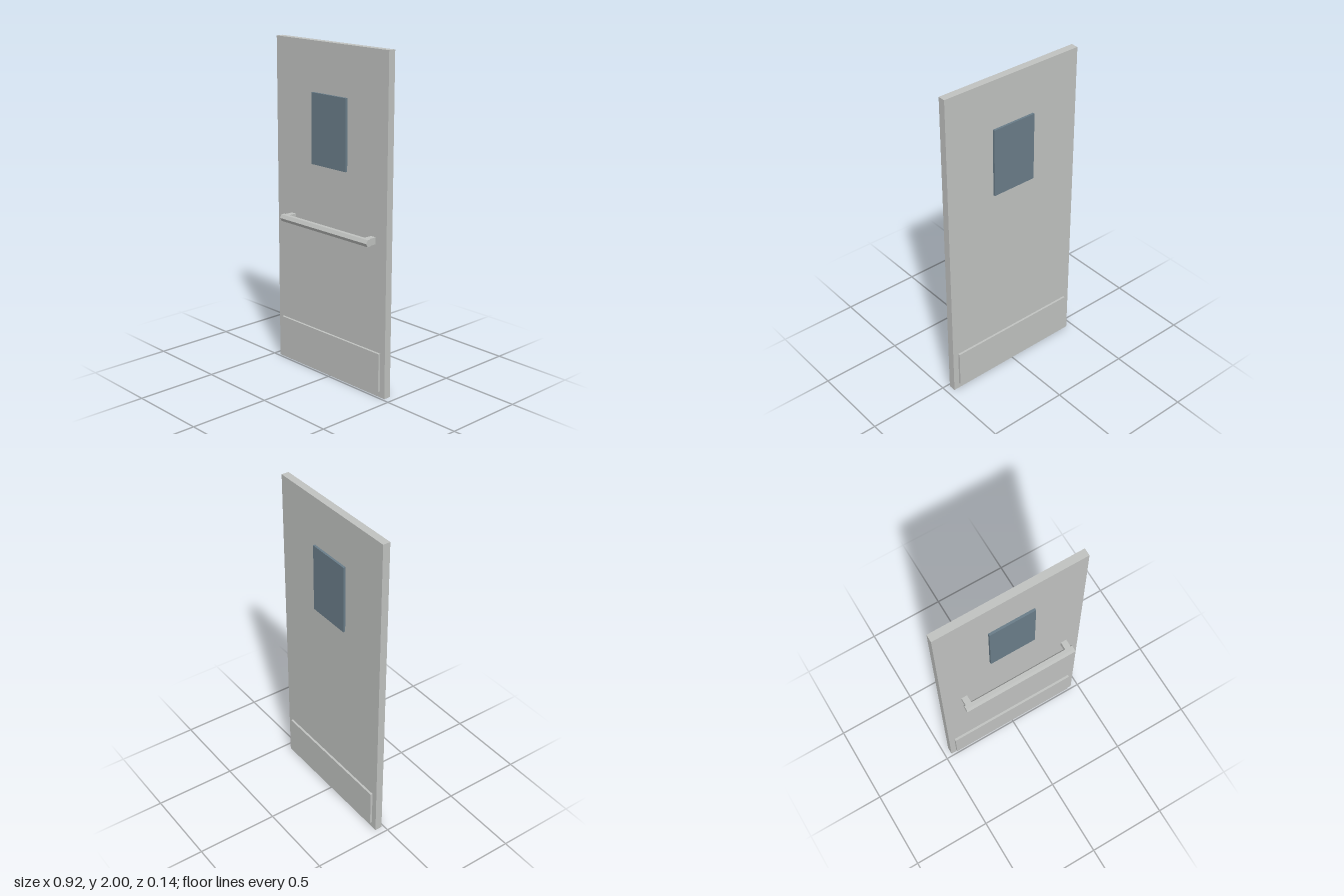
import * as THREE from 'three';

export function createModel() {
  const door = new THREE.Group();
  door.name = 'door';

  const steel = new THREE.MeshStandardMaterial({ color: 0xc0c2c0, flatShading: true });
  steel.name = 'grey steel';
  const glass = new THREE.MeshStandardMaterial({ color: 0x6a7d89, flatShading: true });
  glass.name = 'blue grey glass';

  // Box given by its lower and upper corners
  function addBox(name, material, [x0, y0, z0], [x1, y1, z1]) {
    const mesh = new THREE.Mesh(new THREE.BoxGeometry(x1 - x0, y1 - y0, z1 - z0), material);
    mesh.position.set((x0 + x1) / 2, (y0 + y1) / 2, (z0 + z1) / 2);
    mesh.name = name;
    door.add(mesh);
  }

  // Door leaf
  const back = -0.06, front = -0.0145;
  addBox('doorLeaf', steel, [-0.459, 0, back], [0.457, 2, front]);

  // Window panes and kick plates, one on each face
  for (const [side, z0, z1] of [['front', front, 0], ['back', -0.0735, back]]) {
    addBox(side + 'Window', glass, [-0.142, 1.286, z0], [0.141, 1.706, z1]);
    addBox(side + 'KickPlate', steel, [-0.422, 0.037, z0], [0.42, 0.27, z1]);
  }

  // Six-sided push bar across the front
  const barY = 0.932, barZ = 0.047;
  const bar = new THREE.Mesh(
    new THREE.CylinderGeometry(0.0235, 0.0235, 0.731, 6).rotateZ(Math.PI / 2), steel);
  bar.position.set(0.0175, barY, barZ);
  bar.name = 'pushBar';
  door.add(bar);

  // Posts that hold the bar
  for (const [name, x] of [['rightPost', -0.3195], ['leftPost', 0.3545]]) {
    addBox(name, steel, [x - 0.0185, barY - 0.0203, front], [x + 0.0185, barY + 0.0203, barZ]);
  }

  return door;
}
